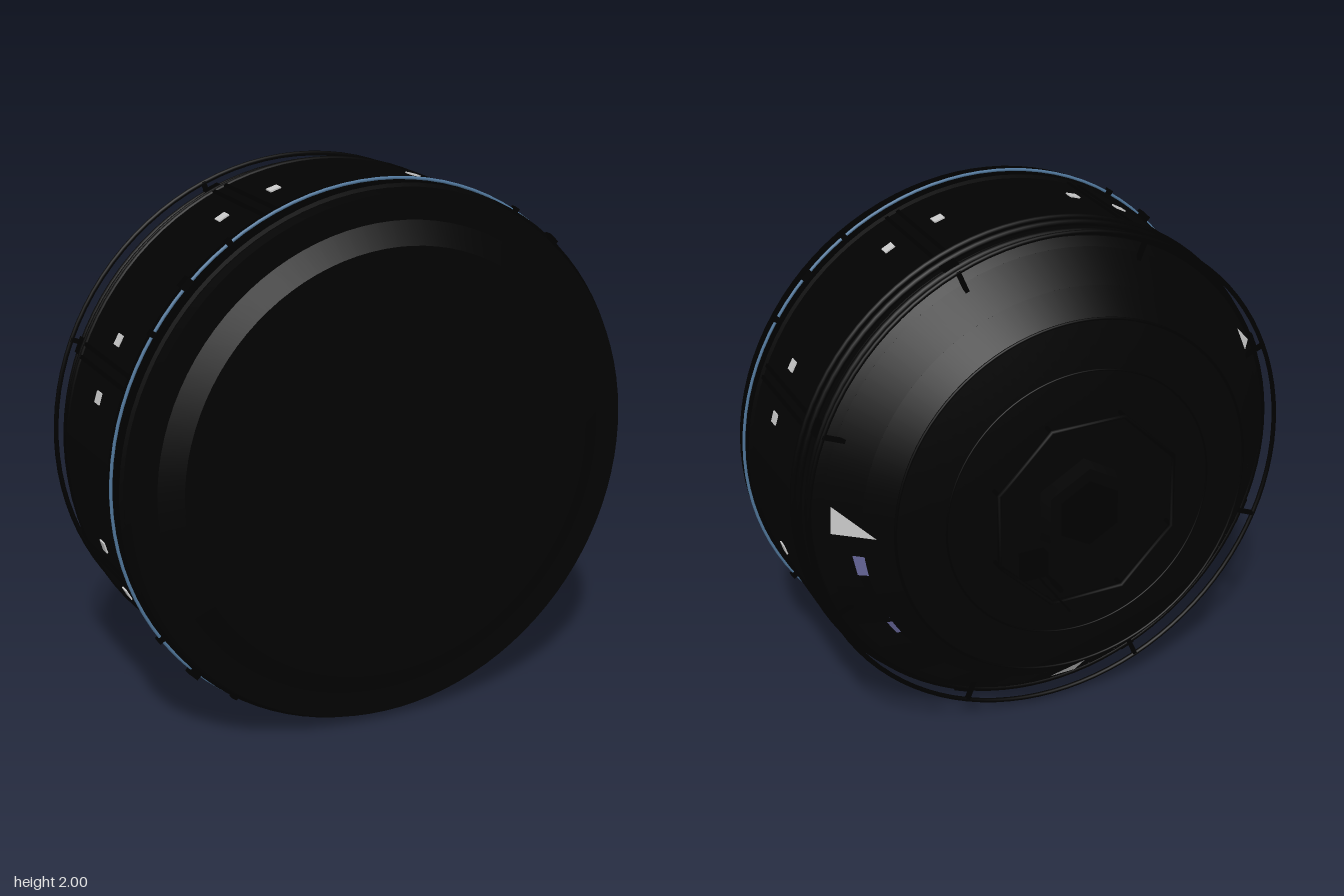
import * as THREE from 'three';
import { toCreasedNormals } from 'three/addons/utils/BufferGeometryUtils.js';

export function createModel() {
  const mat = (name, color, side = THREE.FrontSide) => {
    const m = new THREE.MeshStandardMaterial({ color, side });
    m.name = name;
    return m;
  };
  const hull = mat('hull black', 0x020202, THREE.DoubleSide);
  const trim = mat('trim black', 0x000000);
  const lamp = mat('pale grey', 0xc8c8c8, THREE.DoubleSide);
  const glass = mat('window violet', 0x6a6a9e);
  const blue = mat('blue line', 0x4f7599);

  const root = new THREE.Group();
  const model = new THREE.Group(); // drum axis along z, raised to stand on y = 0
  model.name = 'module';
  model.position.y = 1;
  root.add(model);

  const add = (name, geo, material, parent = model) => {
    const m = new THREE.Mesh(geo, material);
    m.name = name;
    parent.add(m);
    return m;
  };
  // Revolve [radius, z] pairs, listed back to front, about the z axis;
  // the arc starts at `from` degrees and turns by `sweep`, from +x towards +y
  const lathe = (pts, from = 0, sweep = 360) => toCreasedNormals(
    new THREE.LatheGeometry(pts.map(([r, z]) => new THREE.Vector2(r, z)), Math.ceil(sweep / 3.75),
      THREE.MathUtils.degToRad(from + 90), THREE.MathUtils.degToRad(sweep)).rotateX(Math.PI / 2), 0.2);
  // Place a part at an angle round the drum; local x points outward
  const around = (name, geo, material, deg, r, z, tilt = 0) => {
    const pivot = new THREE.Group();
    pivot.rotation.z = THREE.MathUtils.degToRad(deg);
    model.add(pivot);
    const m = add(name, geo, material, pivot);
    m.position.set(r, 0, z);
    m.rotation.y = tilt;
  };
  const rod = (name, material, r, x, y, z0, z1) => {
    add(name, new THREE.CylinderGeometry(r, r, Math.abs(z1 - z0), 8).rotateX(Math.PI / 2), material)
      .position.set(x, y, (z0 + z1) / 2);
  };
  const ring = (name, material, r, tube, z) =>
    add(name, new THREE.TorusGeometry(r, tube, 8, 96), material).position.z = z;

  // Main hull: domed back, and drum with chamfered front, either side of the window belt
  add('backDome', lathe([[0, -0.365], [0.36, -0.36], [0.53, -0.342], [0.71, -0.305], [0.8, -0.212]]), hull);
  add('drum', lathe([[0.905, -0.1], [0.935, -0.07], [0.95, -0.03], [0.955, 0.03], [0.975, 0.03],
    [0.975, 0.6], [0.965, 0.635], [0.87, 0.635], [0.79, 0.68], [0, 0.68]]), hull);
  add('frontBand', lathe([[0.97, 0.475], [0.988, 0.48], [0.988, 0.59], [0.97, 0.595]]), trim);
  ring('blueLine', blue, 0.993, 0.006, 0.525);

  // Window belt on the cone, open at four slots, each with a sunken liner behind
  const belt = [[0.8, -0.212], [0.905, -0.1]];
  const slotAngles = [-11.25, -33.75, -56.25, -78.75];
  const half = 4.8;
  for (let i = 0; i < 3; i++)
    add('windowBelt', lathe(belt, slotAngles[i + 1] + half, 22.5 - 2 * half), hull);
  add('windowBelt', lathe(belt, slotAngles[0] + half, 360 - 67.5 - 2 * half), hull);
  for (const a of slotAngles) {
    add('windowLiner', lathe([[0.8, -0.212], [0.745, -0.19], [0.815, -0.11], [0.905, -0.1]], a - 9, 18), hull);
    around('window', new THREE.BoxGeometry(0.008, 0.105, 0.075), glass, a, 0.79, -0.15, Math.PI / 4);
  }

  // Raised rings at the shoulder and back
  ring('shoulderRing', trim, 0.97, 0.012, 0.035);
  ring('shoulderRing', trim, 0.96, 0.014, 0.0);
  ring('shoulderRing', trim, 0.945, 0.014, -0.055);
  ring('backSeam', trim, 0.71, 0.006, -0.305);
  ring('backSeam', trim, 0.53, 0.004, -0.342);

  // Rear ring rail with its supports, side seams and lamps
  ring('ringRail', trim, 0.965, 0.009, -0.118);
  for (let i = 0; i < 8; i++) {
    const a = 22.5 + 45 * i;
    around('railSupport', new THREE.BoxGeometry(0.1, 0.016, 0.016), trim, a, 0.92, -0.118);
    for (const s of [-1, 1]) {
      around('seamStrip', new THREE.BoxGeometry(0.014, 0.014, 0.43), trim, a + s * 1.4, 0.975, 0.26);
      around('sideLamp', new THREE.BoxGeometry(0.008, 0.042, 0.04), lamp, a + s * 6.2, 0.976, 0.28);
    }
    around('shoulderBlock', new THREE.BoxGeometry(0.03, 0.06, 0.06), trim, a, 0.948, -0.03);
  }

  // Clips on the front band at the four diagonals
  for (let i = 0; i < 4; i++) {
    const a = 45 + 90 * i;
    around('bandBlock', new THREE.BoxGeometry(0.045, 0.045, 0.035), trim, a, 0.99, 0.52);
    for (const s of [-1, 1])
      around('bandClip', new THREE.BoxGeometry(0.03, 0.022, 0.024), trim, a + s * 11.4, 0.993, 0.522);
  }

  // Pale triangular plates on the cone: corners as [towards the back, round the drum]
  const triangle = (...pts) => new THREE.ShapeGeometry(
    new THREE.Shape(pts.map(([u, v]) => new THREE.Vector2(u, v)))).rotateY(Math.PI / 2);
  const longPlate = triangle([-0.09, -0.068], [0.09, -0.05], [-0.09, 0.042]);
  around('paleTriangle', longPlate, lamp, 3.5, 0.823, -0.192, Math.PI / 4);
  around('paleTriangle', longPlate, lamp, -91, 0.805, -0.21, Math.PI / 4);
  around('paleTriangle', triangle([-0.03, 0.045], [0.01, -0.05], [0.03, 0.045]), lamp,
    152.5, 0.907, -0.108, Math.PI / 4);

  // Back hatch with an octagonal handrail on posts
  add('hatch', new THREE.CylinderGeometry(0.2, 0.18, 0.06, 6).rotateX(Math.PI / 2), hull).position.z = -0.385;
  add('hatchCap', new THREE.CylinderGeometry(0.13, 0.13, 0.02, 6).rotateX(Math.PI / 2), trim).position.z = -0.41;
  add('hatchRail', new THREE.TorusGeometry(0.38, 0.009, 6, 8).rotateZ(Math.PI / 8), trim).position.z = -0.4;
  for (let i = 0; i < 8; i++) {
    const a = THREE.MathUtils.degToRad(22.5 + 45 * i);
    rod('railPost', trim, 0.008, 0.38 * Math.cos(a), 0.38 * Math.sin(a), -0.34, -0.4);
  }

  // Antennas
  add('antennaBase', new THREE.BoxGeometry(0.1, 0.1, 0.04), trim).position.set(0.21, -0.18, -0.385);
  rod('antenna', trim, 0.006, 0.21, -0.165, -0.36, -0.55);
  rod('antennaTip', trim, 0.01, 0.21, -0.165, -0.54, -0.61);
  rod('thinAntenna', trim, 0.004, 0.21, -0.21, -0.36, -0.68);

  return root;
}
